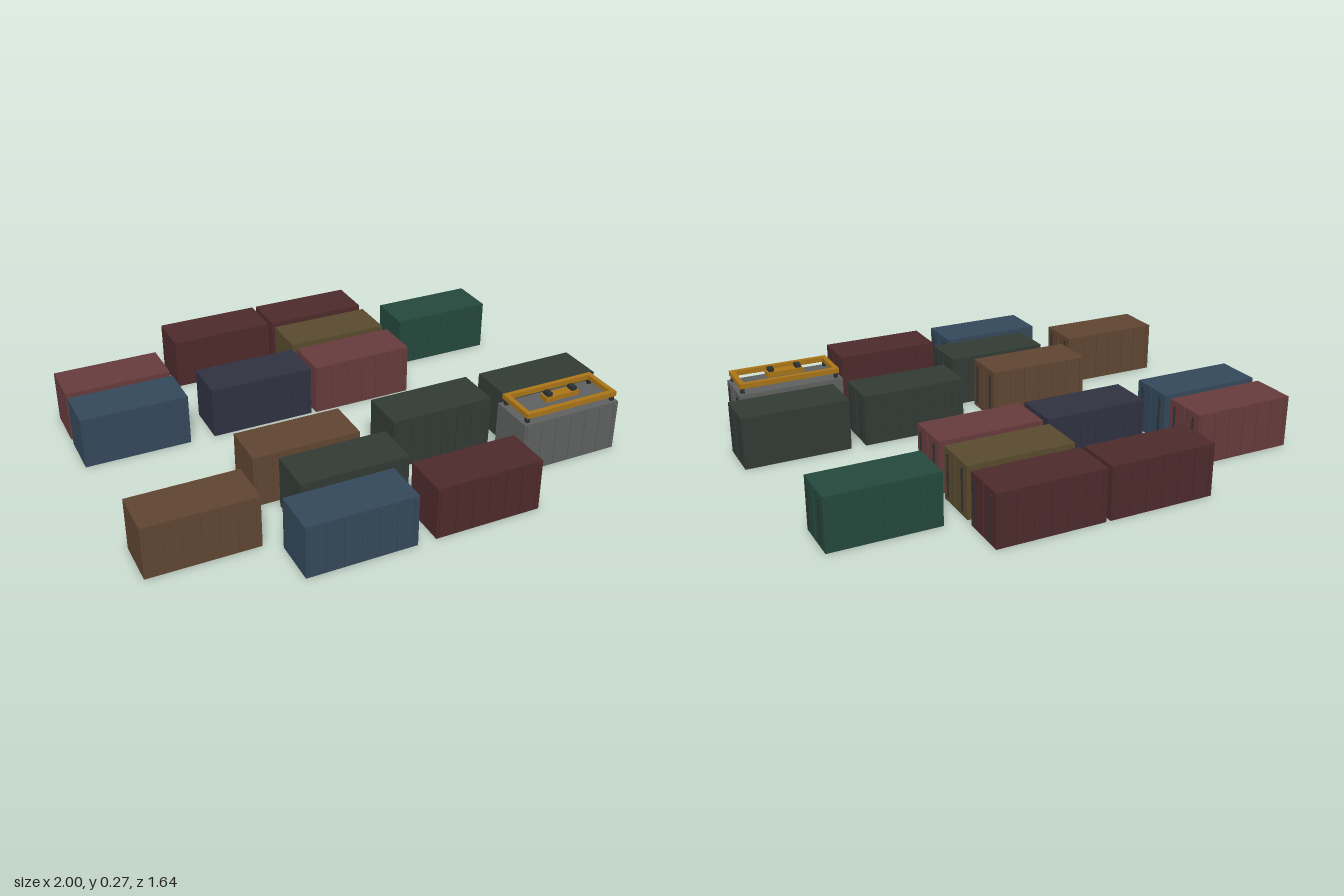
import * as THREE from 'three';

const L = 0.43, H = 0.21, W = 0.19;

const material = (color) => new THREE.MeshStandardMaterial({ color, flatShading: true });
const steel = material(0x2c2f30);
const yellow = material(0xa87418);

function box(parent, name, mat, size, pos) {
  const mesh = new THREE.Mesh(new THREE.BoxGeometry(...size), mat);
  mesh.name = name;
  mesh.position.set(...pos);
  parent.add(mesh);
  return mesh;
}

// One shipping container, standing on y = 0, doors facing +x
function container(mat) {
  const g = new THREE.Group();
  g.name = 'container';
  box(g, 'body', mat, [L, H, W], [0, H / 2, 0]);
  // Upright ribs on both long sides
  for (const side of [-1, 1]) {
    for (let i = -3; i <= 3; i++) {
      box(g, 'sideRib', mat, [0.01, H - 0.012, 0.006], [i * 0.067, H / 2, side * (W / 2 + 0.001)]);
    }
  }
  // Door end: centre seam and two locking bars
  box(g, 'doorSeam', mat, [0.006, H - 0.012, 0.006], [L / 2 + 0.001, H / 2, 0]);
  for (const side of [-1, 1]) {
    box(g, 'lockingBar', steel, [0.008, H - 0.04, 0.006], [L / 2 + 0.002, H / 2, side * 0.06]);
  }
  return g;
}

// Lifting frame that sits on top of one container
function liftingFrame() {
  const g = new THREE.Group();
  g.name = 'liftingFrame';
  const fl = 0.41, fw = 0.175, t = 0.02, y = 0.242;
  for (const s of [-1, 1]) {
    box(g, 'longBeam', yellow, [fl, t, t], [0, y, s * (fw - t) / 2]);
    box(g, 'endBeam', yellow, [t, t, fw - 2 * t], [s * (fl - t) / 2, y, 0]);
    for (const r of [-1, 1]) {
      box(g, 'cornerLeg', steel, [0.015, 0.03, 0.015], [s * 0.195, 0.219, r * 0.073]);
    }
    box(g, 'hoistBlock', steel, [0.022, 0.018, 0.032], [s * 0.056, 0.262, 0]);
  }
  box(g, 'headBlock', yellow, [0.15, 0.02, 0.042], [0, 0.246, 0]);
  return g;
}

export function createModel() {
  const yard = new THREE.Group();
  yard.name = 'containerYard';
  const paint = {
    maroon: material(0x4d2a2b), red: material(0x663b3c), olive: material(0x584a2e),
    green: material(0x24483c), blue: material(0x34485a), navy: material(0x2f3140),
    brown: material(0x5f4531), moss: material(0x323a34), grey: material(0x5e5f5f),
  };
  // Paint, x and z of each container
  const layout = [
    ['maroon', -0.255, -0.72], ['maroon', 0.193, -0.72],
    ['red', -0.785, -0.49], ['olive', 0.19, -0.49], ['green', 0.71, -0.49],
    ['blue', -0.785, -0.265], ['navy', -0.255, -0.265], ['red', 0.195, -0.262],
    ['brown', -0.292, 0.26], ['moss', 0.283, 0.257], ['moss', 0.775, 0.257],
    ['brown', -0.785, 0.49], ['moss', -0.205, 0.485], ['grey', 0.717, 0.492],
    ['blue', -0.292, 0.72], ['maroon', 0.213, 0.717],
  ];
  for (const [color, x, z] of layout) {
    const c = container(paint[color]);
    c.position.set(x, 0, z);
    yard.add(c);
  }
  const frame = liftingFrame();
  frame.position.set(0.719, 0, 0.492);
  yard.add(frame);
  return yard;
}
